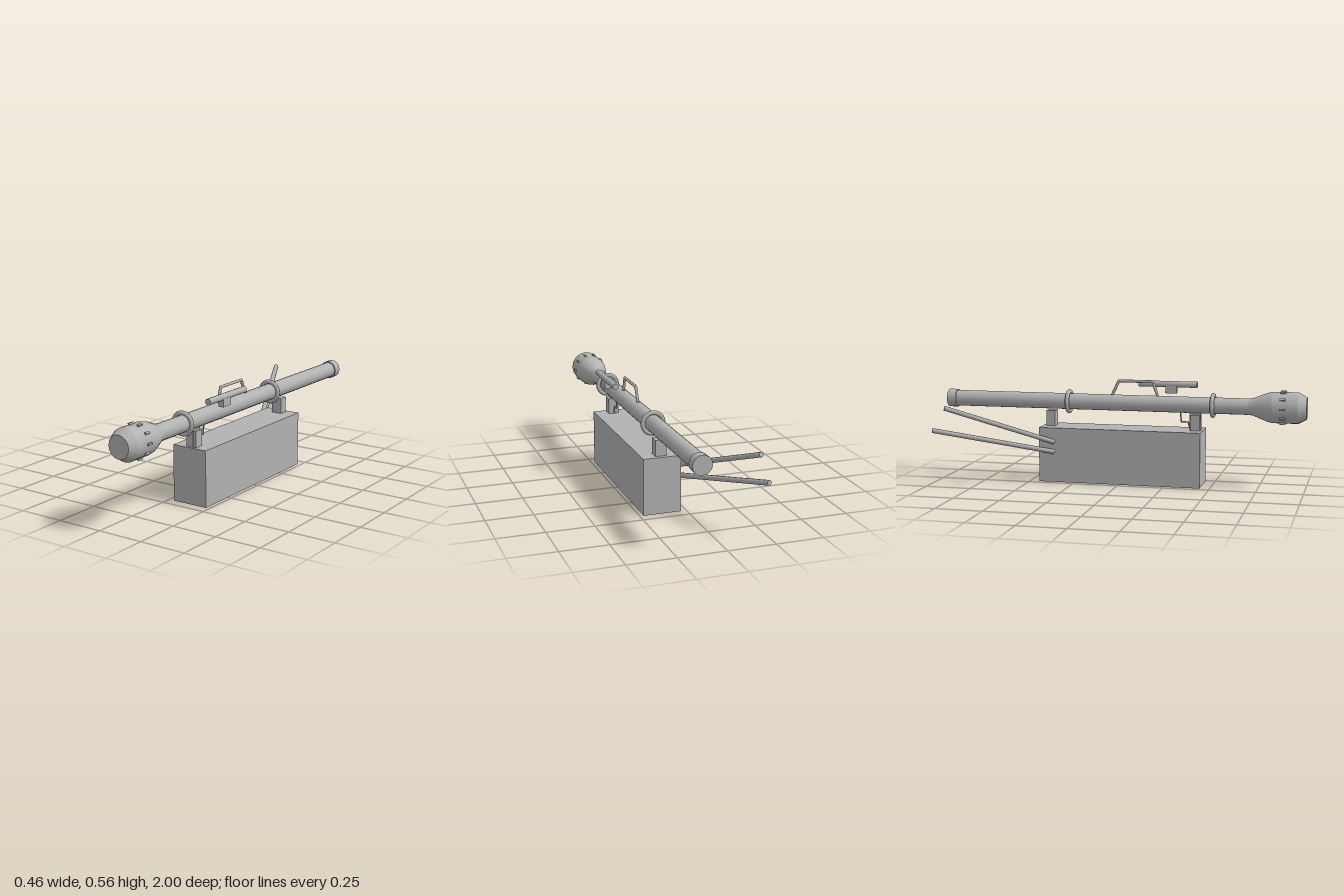
import * as THREE from 'three';

const AX = 0.13, AY = 0.437; // barrel axis

export function createModel() {
  const root = new THREE.Group();
  root.name = 'launcherOnStand';
  const grey = new THREE.MeshStandardMaterial({ color: 0xb2b2b2 });
  grey.name = 'grey';

  const add = (name, geometry, x = 0, y = 0, z = 0, parent = root) => {
    const mesh = new THREE.Mesh(geometry, grey);
    mesh.name = name;
    mesh.position.set(x, y, z);
    parent.add(mesh);
    return mesh;
  };
  const box = (name, x0, x1, y0, y1, z0, z1) =>
    add(name, new THREE.BoxGeometry(x1 - x0, y1 - y0, z1 - z0),
      (x0 + x1) / 2, (y0 + y1) / 2, (z0 + z1) / 2);
  // Cylinder or cone along z, from z0 (radius r0) to z1 (radius r1)
  const tubeZ = (name, x, y, z0, z1, r0, r1 = r0, sides = 16, open = false) =>
    add(name, new THREE.CylinderGeometry(r1, r0, z1 - z0, sides, 1, open).rotateX(Math.PI / 2),
      x, y, (z0 + z1) / 2);
  // Bent rod through corner points
  const rod = (name, points, radius) => {
    const group = new THREE.Group();
    group.name = name;
    root.add(group);
    const pts = points.map(p => new THREE.Vector3(...p));
    for (let i = 0; i < pts.length - 1; i++) {
      const dir = pts[i + 1].clone().sub(pts[i]);
      const mid = pts[i].clone().add(pts[i + 1]).multiplyScalar(0.5);
      const bar = add(name + 'Bar', new THREE.CylinderGeometry(radius, radius, dir.length(), 8),
        mid.x, mid.y, mid.z, group);
      bar.quaternion.setFromUnitVectors(new THREE.Vector3(0, 1, 0), dir.normalize());
      if (i > 0) add(name + 'Joint', new THREE.SphereGeometry(radius, 8, 6), ...points[i], group);
    }
  };

  // Base block and the posts that carry the barrel
  box('baseBlock', 0.03, 0.23, 0, 0.3, -0.447, 0.447);
  box('frontPost', 0.102, 0.16, 0.29, 0.385, 0.38, 0.432);
  box('rearPost', 0.102, 0.16, 0.29, 0.385, -0.425, -0.375);
  box('grip', 0.115, 0.145, 0.29, 0.4, 0.375, 0.436);
  rod('triggerGuard', [[AX, 0.305, 0.377], [AX, 0.343, 0.365], [AX, 0.343, 0.328], [AX, 0.4, 0.322]], 0.004);

  // Barrel with rear collar
  tubeZ('barrel', AX, AY, -0.98, 0.72, 0.044);
  tubeZ('rearCollar', AX, AY, -1, -0.95, 0.05);

  // Muzzle head: flared neck, straight body, chamfered nose
  const neck = [[0.044, 0.69], [0.047, 0.715], [0.077, 0.79], [0.084, 0.82]]
    .map(([r, z]) => new THREE.Vector2(r, z));
  add('muzzleNeck', new THREE.LatheGeometry(neck, 16).rotateX(Math.PI / 2), AX, AY, 0);
  tubeZ('muzzleBody', AX, AY, 0.82, 0.955, 0.084, 0.084, 16, true);
  tubeZ('muzzleNose', AX, AY, 0.955, 1, 0.084, 0.06);

  // Lugs around the muzzle body
  for (let i = 0; i < 10; i++) {
    const a = (i / 10) * Math.PI * 2;
    const lug = add('muzzleLug', new THREE.BoxGeometry(0.016, 0.011, 0.03),
      AX + Math.cos(a) * 0.084, AY + Math.sin(a) * 0.084, 0.875);
    lug.rotation.z = a;
  }

  // Clamp rings
  for (const z of [0.5, -0.3])
    add('clampRing', new THREE.TorusGeometry(0.055, 0.012, 8, 24), AX, AY, z);

  // Carrying handle
  rod('carryHandle', [[AX, 0.475, 0.197], [AX, 0.557, 0.17], [AX, 0.557, -0.02], [AX, 0.475, -0.058]], 0.008);

  // Sighting tube and its mount
  tubeZ('sightTube', 0.211, 0.537, 0.075, 0.4, 0.017, 0.017, 12);
  box('sightMount', 0.196, 0.227, 0.488, 0.53, 0.225, 0.288);

  // Two rods splayed out behind the base
  rod('upperLeg', [[0.03, 0.222, -0.36], [-0.203, 0.423, -0.905]], 0.0135);
  rod('lowerLeg', [[0.03, 0.168, -0.36], [-0.219, 0.302, -0.97]], 0.0135);

  return root;
}
